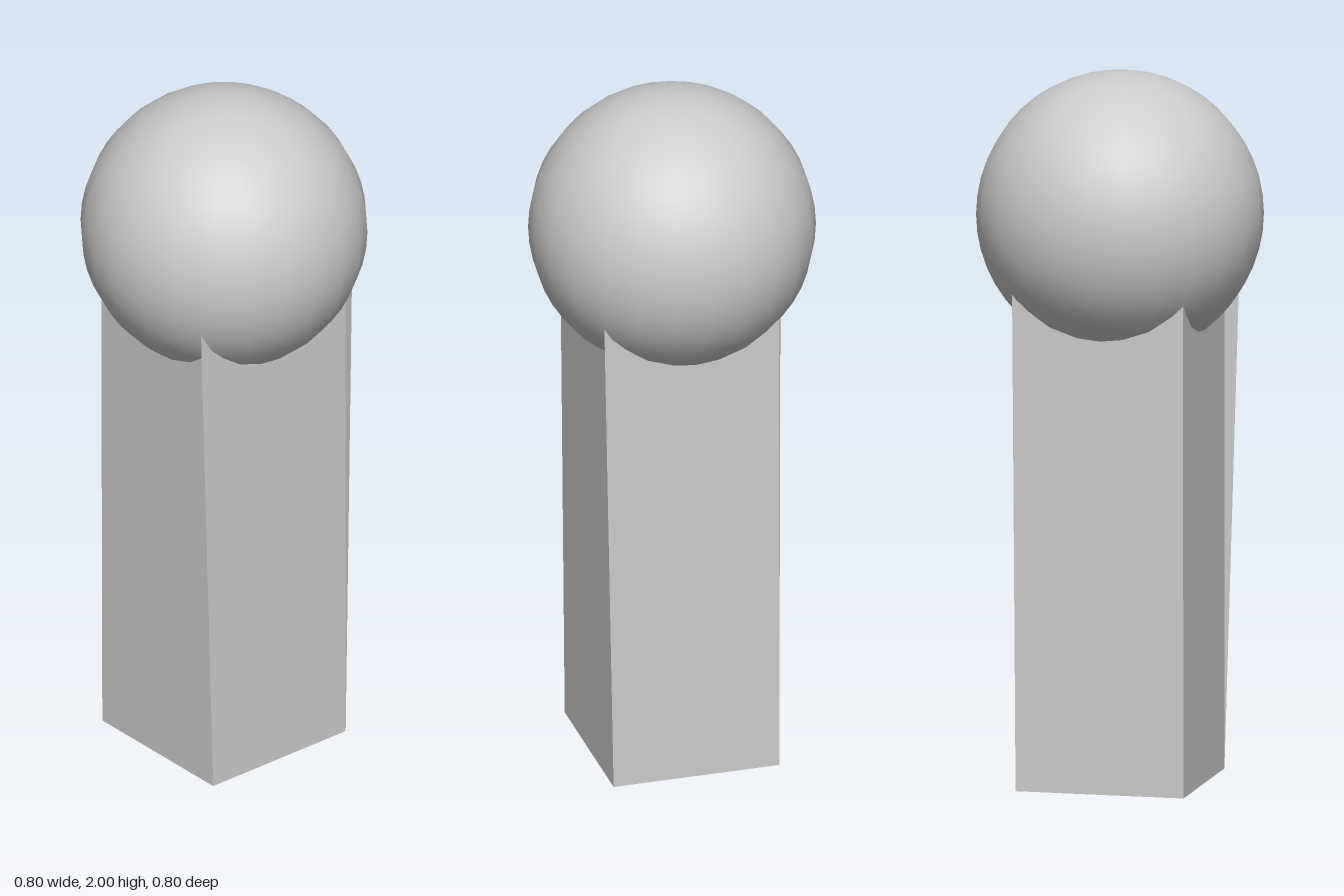
import * as THREE from 'three';

const R = 0.4, H = 0.24, TOP = 1.55;

// Flat panel facing +z; its left top corner flares past the neighbouring panel
function panel(flare) {
  const shape = new THREE.Shape([
    new THREE.Vector2(-H, 0),
    new THREE.Vector2(H, 0),
    new THREE.Vector2(H, TOP),
    new THREE.Vector2(-H - flare, TOP),
  ]);
  return new THREE.ShapeGeometry(shape).translate(0, 0, H);
}

export function createModel() {
  const model = new THREE.Group();
  const smooth = new THREE.MeshStandardMaterial({ color: 0xcccccc });
  const thin = new THREE.MeshStandardMaterial({ color: 0xcccccc, side: THREE.DoubleSide });

  const add = (name, geometry, material) => {
    const mesh = new THREE.Mesh(geometry, material);
    mesh.name = name;
    model.add(mesh);
    return mesh;
  };

  // Ball resting in the top of the post
  add('ball', new THREE.SphereGeometry(R, 24, 24), smooth).position.y = 2 - R;

  // Post sides, in a pinwheel: each one overshoots one corner slightly
  const sides = [
    ['postFront', 0.005],
    ['postRight', 0.047],
    ['postBack', 0.029],
    ['postLeft', 0.011],
  ];
  sides.forEach(([name, flare], i) => {
    add(name, panel(flare).rotateY(i * Math.PI / 2), thin);
  });

  // Underside of the post
  add('postBase', new THREE.PlaneGeometry(2 * H, 2 * H).rotateX(Math.PI / 2), thin);

  return model;
}
